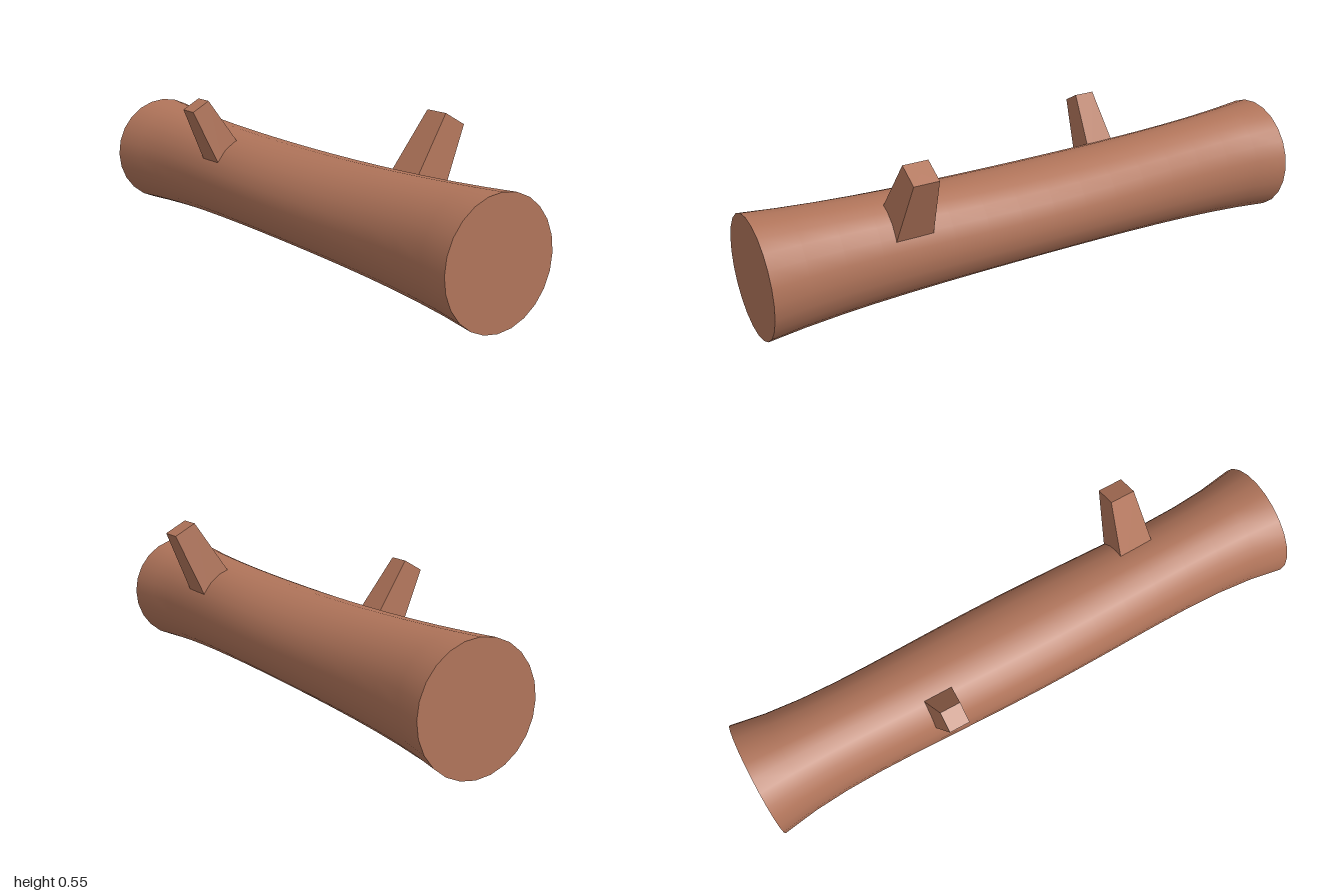
import * as THREE from 'three';
import { toCreasedNormals } from 'three/addons/utils/BufferGeometryUtils.js';

export function createModel() {
  const group = new THREE.Group();
  const bark = new THREE.MeshStandardMaterial({ color: 0xb0745a });
  bark.name = 'bark brown';

  // Trunk: a 24-sided log lying along z, waisted in the middle
  const trunkGeo = new THREE.CylinderGeometry(1, 1, 2, 24, 16);
  trunkGeo.rotateX(Math.PI / 2);
  const p = trunkGeo.attributes.position;
  for (let i = 0; i < p.count; i++) {
    const z2 = p.getZ(i) ** 2;
    const rx = 0.183 - 0.061 * z2 + 0.084 * z2 * z2;
    const ry = 0.167 + 0.04 * z2;
    p.setXY(i, p.getX(i) * rx, p.getY(i) * ry);
  }
  const trunk = new THREE.Mesh(toCreasedNormals(trunkGeo, 0.7), bark);
  trunk.name = 'trunk';
  trunk.position.set(-0.006, 0.207, 0);
  group.add(trunk);

  // Branch stubs: square, tapered, rooted inside the trunk
  const addStub = (name, tip, root, tipHalf, rootHalf, z) => {
    const a = new THREE.Vector3(...root, z);
    const b = new THREE.Vector3(...tip, z);
    const axis = b.clone().sub(a);
    const geo = new THREE.CylinderGeometry(
      tipHalf * Math.SQRT2, rootHalf * Math.SQRT2, axis.length(), 4);
    geo.rotateY(Math.PI / 4);
    const stub = new THREE.Mesh(toCreasedNormals(geo, 0.5), bark);
    stub.name = name;
    stub.position.copy(a).add(b).multiplyScalar(0.5);
    stub.rotation.z = -Math.atan2(axis.x, axis.y);
    group.add(stub);
  };
  addStub('frontBranch', [0.211, 0.533], [0.05, 0.245], 0.044, 0.072, 0.51);
  addStub('backBranch', [-0.2185, 0.495], [-0.08, 0.252], 0.036, 0.06, -0.34);

  return group;
}
